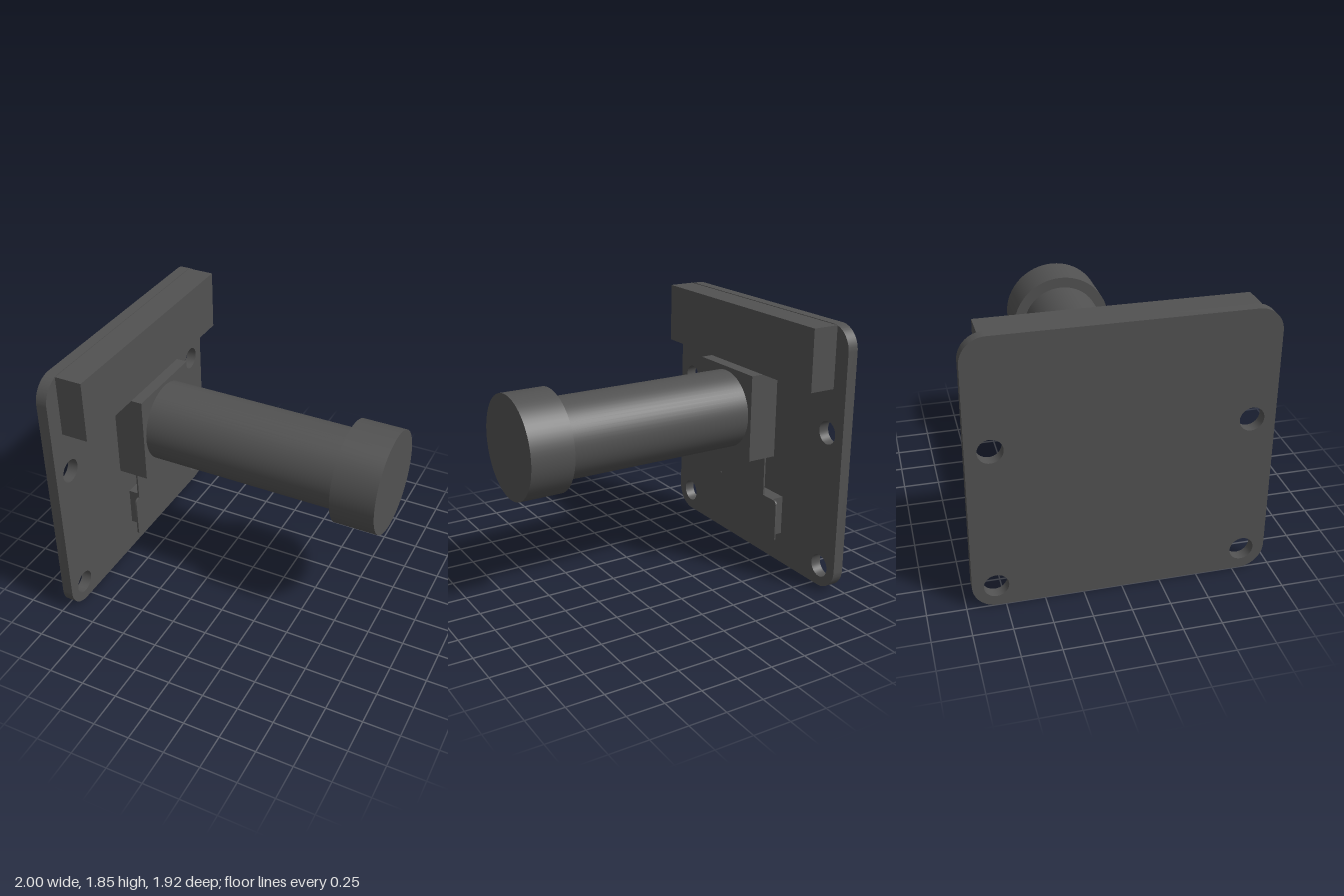
import * as THREE from 'three';
import { toCreasedNormals } from 'three/addons/utils/BufferGeometryUtils.js';

const material = new THREE.MeshStandardMaterial({ color: 0x525252 });
const LENS_Y = 1.11;

export function createModel() {
  const model = new THREE.Group();

  function add(name, geometry) {
    const mesh = new THREE.Mesh(geometry, material);
    mesh.name = name;
    model.add(mesh);
    return mesh;
  }

  // Box given by its limits on each axis
  function box(name, x0, x1, y0, y1, z0, z1) {
    add(name, new THREE.BoxGeometry(x1 - x0, y1 - y0, z1 - z0))
      .position.set((x0 + x1) / 2, (y0 + y1) / 2, (z0 + z1) / 2);
  }

  // Cylinder lying along x on the lens axis
  function barrel(name, radius, x0, x1) {
    const geometry = new THREE.CylinderGeometry(radius, radius, x1 - x0, 64);
    geometry.rotateZ(-Math.PI / 2);
    add(name, geometry).position.set((x0 + x1) / 2, LENS_Y, 0);
  }

  // Outline drawn in (-z, y), extruded from x0 to x1
  function slab(name, shape, x0, x1) {
    const geometry = new THREE.ExtrudeGeometry(shape, {
      depth: x1 - x0, bevelEnabled: false, curveSegments: 16,
    });
    geometry.rotateY(Math.PI / 2);
    geometry.translate(x0, 0, 0);
    add(name, toCreasedNormals(geometry, 0.6));
  }

  // Circuit board with rounded corners and four mounting holes
  const w = 0.96, h = 1.847, r = 0.16;
  const board = new THREE.Shape();
  board.absarc(w - r, r, r, -Math.PI / 2, 0);
  board.absarc(w - r, h - r, r, 0, Math.PI / 2);
  board.absarc(-w + r, h - r, r, Math.PI / 2, Math.PI);
  board.absarc(-w + r, r, r, Math.PI, Math.PI * 1.5);
  board.closePath();
  for (const s of [-0.807, 0.807]) {
    for (const y of [0.148, 1.115]) {
      board.holes.push(new THREE.Path().absarc(s, y, 0.08, 0, Math.PI * 2, true));
    }
  }
  slab('circuitBoard', board, -1, -0.925);

  // Header block along the top edge
  box('headerBlock', -0.925, -0.74, 1.423, 1.843, -0.842, 0.842);

  // Lens stack
  barrel('sensorBase', 0.19, -0.925, -0.885);
  box('lensMount', -0.885, -0.67, 0.8, 1.415, -0.307, 0.307);
  barrel('lensBarrel', 0.277, -0.67, 0.7);
  barrel('lensCap', 0.352, 0.7, 1);

  // Flat ribbon: narrow neck widening to a rounded tab
  const c = 0.03, left = -0.255, right = 0.45, low = 0.206, high = 0.52;
  const ribbon = new THREE.Shape();
  ribbon.absarc(left + c, low + c, c, Math.PI, Math.PI * 1.5);
  ribbon.absarc(right - c, low + c, c, -Math.PI / 2, 0);
  ribbon.absarc(right - c, high - c, c, 0, Math.PI / 2);
  ribbon.lineTo(0.3, high);
  ribbon.lineTo(0.3, 0.81);
  ribbon.lineTo(-0.215, 0.81);
  ribbon.lineTo(-0.215, high);
  ribbon.absarc(left + c, high - c, c, Math.PI / 2, Math.PI);
  ribbon.closePath();
  slab('ribbonCable', ribbon, -0.82, -0.808);

  // Socket under the ribbon tab
  box('ribbonSocket', -0.925, -0.82, 0.225, 0.507, -0.375, 0.16);

  return model;
}
